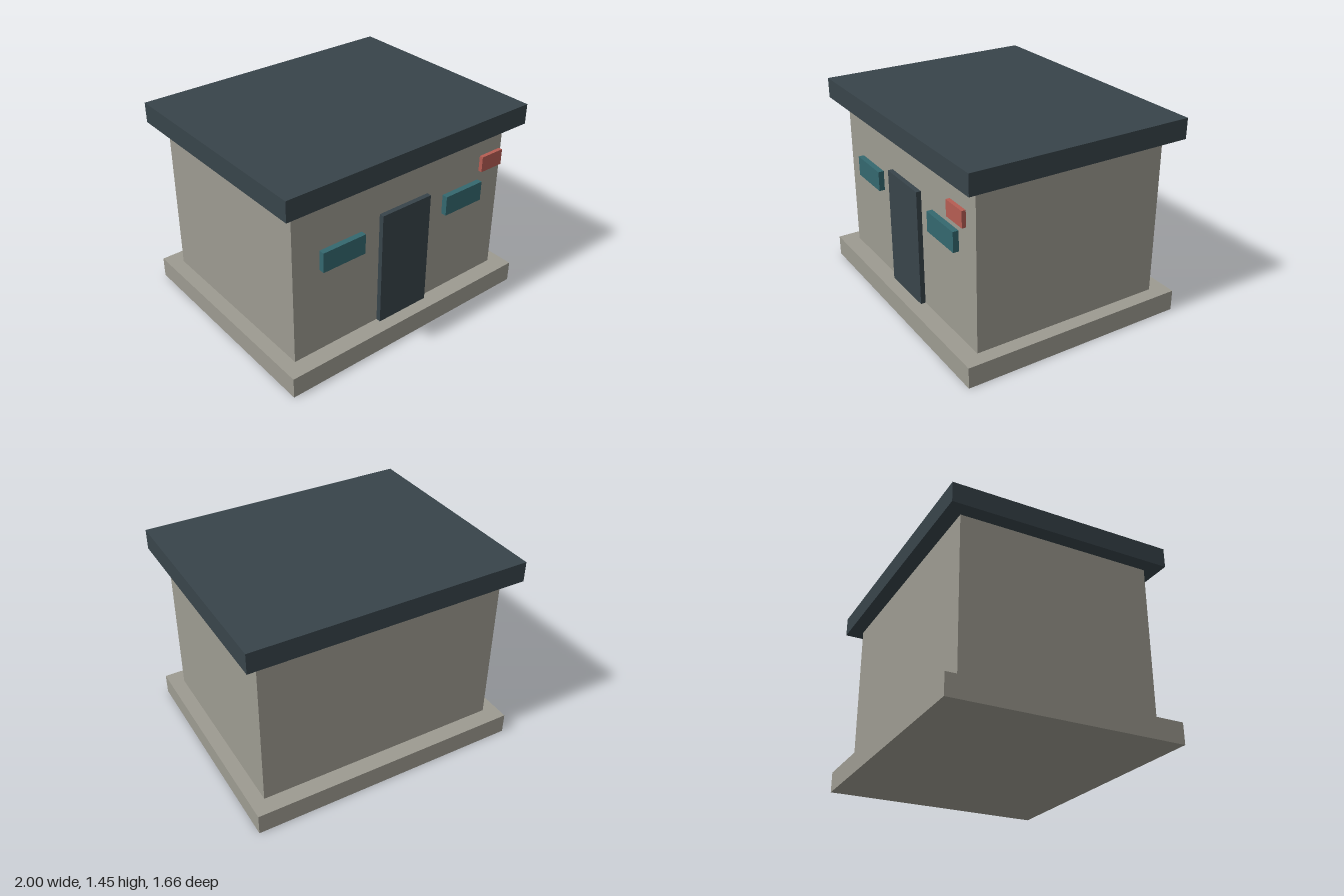
import * as THREE from 'three';

export function createModel() {
  const model = new THREE.Group();
  model.name = 'hut';

  const material = (name, color) => {
    const m = new THREE.MeshStandardMaterial({ color });
    m.name = name;
    return m;
  };
  const concrete = material('concrete grey', 0x9d9b91);
  const slate = material('dark slate', 0x38444a);
  const glass = material('teal glass', 0x34686f);
  const red = material('muted red', 0xb55d53);

  // Box given by its lower and upper limits on each axis
  const box = (name, mat, [x0, x1], [y0, y1], [z0, z1]) => {
    const mesh = new THREE.Mesh(new THREE.BoxGeometry(x1 - x0, y1 - y0, z1 - z0), mat);
    mesh.position.set((x0 + x1) / 2, (y0 + y1) / 2, (z0 + z1) / 2);
    mesh.name = name;
    model.add(mesh);
  };

  // Main structure
  box('foundation', concrete, [-1, 1], [0, 0.152], [-0.832, 0.832]);
  box('walls', concrete, [-0.897, 0.897], [0.152, 1.305], [-0.707, 0.707]);
  box('roof', slate, [-1, 1], [1.305, 1.45], [-0.812, 0.812]);

  // Front door and the windows on either side
  box('door', slate, [-0.207, 0.207], [0.152, 1.0], [0.707, 0.742]);
  box('rightWindow', glass, [-0.69, -0.355], [0.785, 0.93], [0.707, 0.748]);
  box('leftWindow', glass, [0.355, 0.69], [0.785, 0.93], [0.707, 0.748]);

  // Small sign plate standing clear of the wall
  box('signPlate', red, [0.652, 0.842], [1.028, 1.142], [0.742, 0.77]);

  return model;
}
